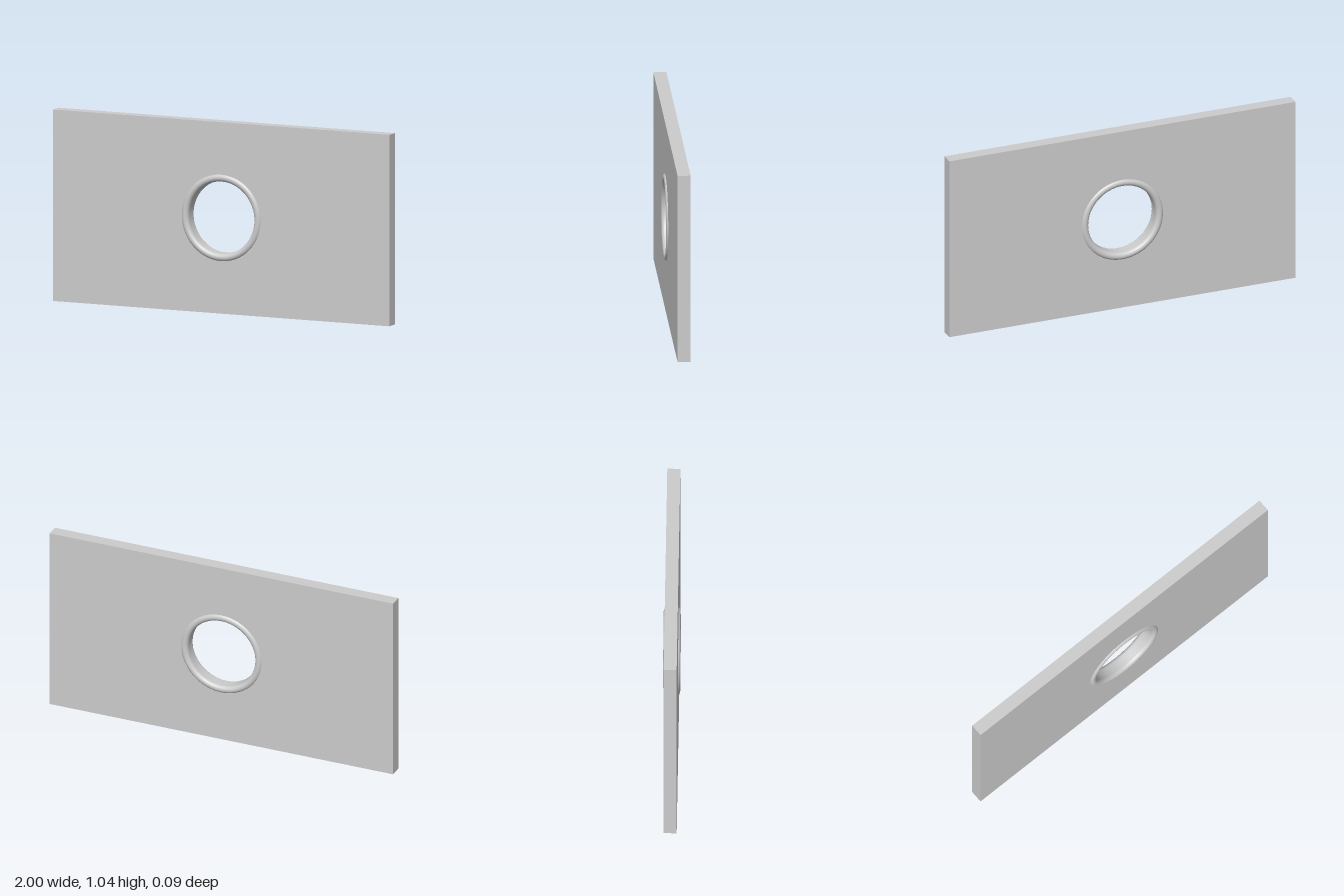
import * as THREE from 'three';

const WIDTH = 2, HEIGHT = 1.036, DEPTH = 0.07;
const RING_RADIUS = 0.216, ROUND = 0.021, RING_HALF = 0.045;

export function createModel() {
  const group = new THREE.Group();
  group.name = 'plateWithGrommet';
  const material = new THREE.MeshStandardMaterial({ color: 0xcccccc });

  // Flat plate with a round hole in its middle
  const outline = new THREE.Shape();
  outline.moveTo(-WIDTH / 2, -HEIGHT / 2);
  outline.lineTo(WIDTH / 2, -HEIGHT / 2);
  outline.lineTo(WIDTH / 2, HEIGHT / 2);
  outline.lineTo(-WIDTH / 2, HEIGHT / 2);
  outline.closePath();
  const hole = new THREE.Path();
  hole.absarc(0, 0, RING_RADIUS, 0, Math.PI * 2, true);
  outline.holes.push(hole);
  const plateGeometry = new THREE.ExtrudeGeometry(outline, { depth: DEPTH, bevelEnabled: false, curveSegments: 64 });
  plateGeometry.translate(0, HEIGHT / 2, -DEPTH / 2);
  const plate = new THREE.Mesh(plateGeometry, material);
  plate.name = 'plate';
  group.add(plate);

  // Rounded grommet: straight walls with half-round lips, turned about the hole axis
  const profile = [];
  const steps = 16, straight = RING_HALF - ROUND;
  for (const side of [1, -1]) {
    for (let i = 0; i <= steps; i++) {
      const a = (i / steps) * Math.PI + (side < 0 ? Math.PI : 0);
      profile.push(new THREE.Vector2(RING_RADIUS + ROUND * Math.cos(a), side * straight + ROUND * Math.sin(a)));
    }
  }
  profile.push(profile[0].clone());
  profile.reverse(); // clockwise section
  const ringGeometry = new THREE.LatheGeometry(profile, 96);
  ringGeometry.rotateX(Math.PI / 2);
  ringGeometry.translate(0, HEIGHT / 2, 0);
  const ringMaterial = material.clone();
  ringMaterial.side = THREE.DoubleSide;
  // Lathe faces point outward when the section runs counter-clockwise
  profile.reverse();
  const outward = new THREE.LatheGeometry(profile, 96);
  outward.rotateX(Math.PI / 2);
  outward.translate(0, HEIGHT / 2, 0);
  ringGeometry.dispose();
  const ring = new THREE.Mesh(outward, ringMaterial);
  ring.name = 'grommet';
  group.add(ring);

  return group;
}
